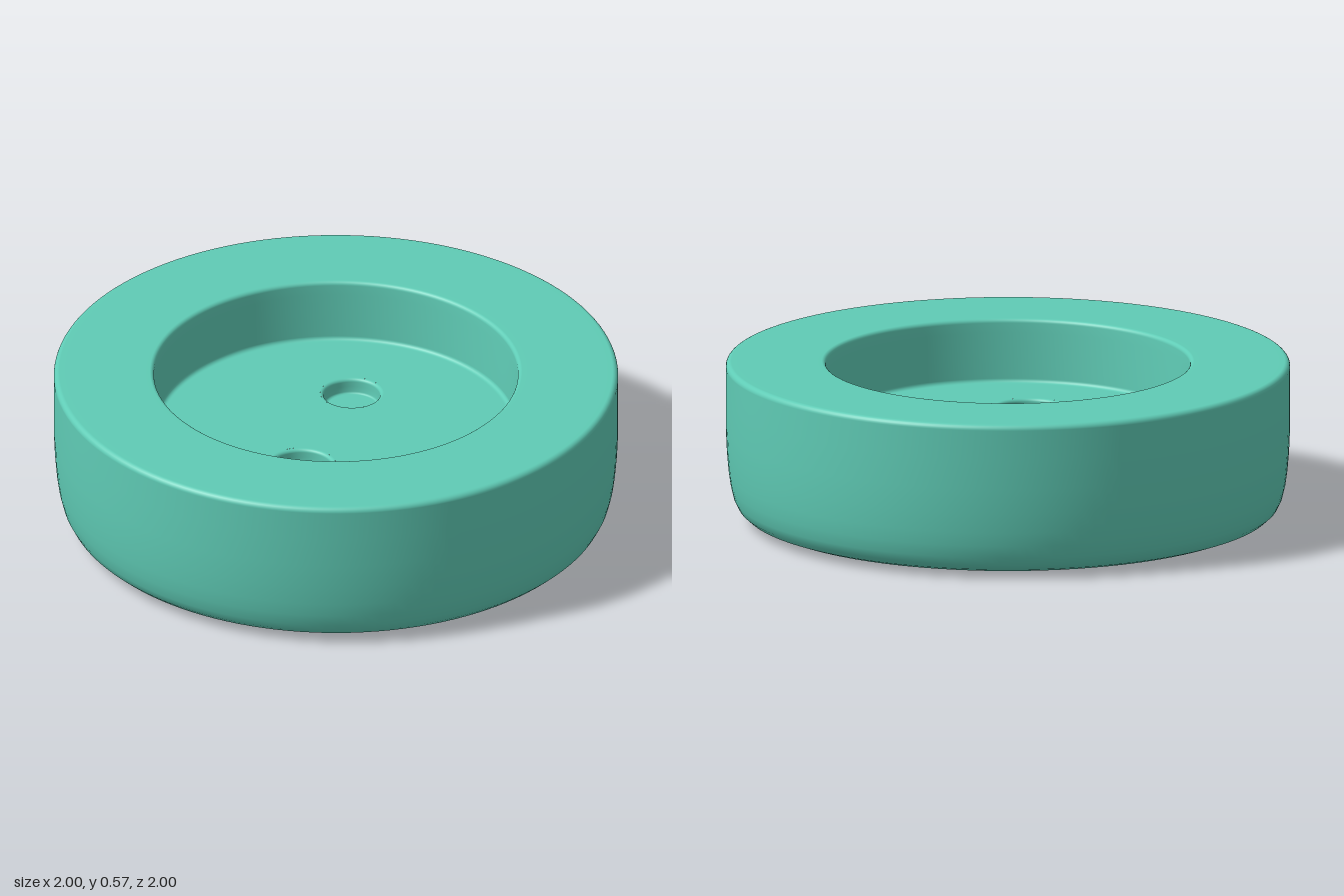
import * as THREE from 'three';

const TOP = 0.575, FLOOR = 0.345, FLOOR_R = 0.62;

// Turns [radius, height] pairs into a smooth lathed surface
function lathe(points, segments) {
  return new THREE.LatheGeometry(points.map(([r, y]) => new THREE.Vector2(r, y)), segments);
}

// Quarter-round from angle a to b (degrees) about centre (cx, cy)
function arc(cx, cy, rx, ry, a, b, steps = 6) {
  return Array.from({ length: steps + 1 }, (_, i) => {
    const t = THREE.MathUtils.degToRad(a + (b - a) * i / steps);
    return [cx + rx * Math.cos(t), cy + ry * Math.sin(t)];
  });
}

export function createModel() {
  const group = new THREE.Group();
  group.name = 'button';
  const material = new THREE.MeshStandardMaterial({ color: 0x5fcbb5 });

  const add = (name, geometry) => {
    const mesh = new THREE.Mesh(geometry, material);
    mesh.name = name;
    group.add(mesh);
    return mesh;
  };

  // Body: soft underside, nearly straight wall, wide rim and recess wall
  add('body', lathe([
    [0, 0.004], [0.6, 0.005], [0.75, 0.01], [0.85, 0.015],
    [0.9, 0.022], [0.935, 0.035], [0.957, 0.055], [0.972, 0.085],
    [0.983, 0.13], [0.99, 0.18], [0.996, 0.25], [1, 0.34], [1, 0.45],
    ...arc(0.98, TOP - 0.02, 0.02, 0.02, 0, 90),
    [0.95, TOP], [0.7, TOP],
    ...arc(0.66, TOP - 0.015, 0.015, 0.015, 90, 180),
    [0.643, TOP - 0.05], [0.638, FLOOR + 0.03],
    ...arc(FLOOR_R + 0.003, FLOOR + 0.015, 0.015, 0.015, 0, -90),
    [FLOOR_R, FLOOR],
  ], 128));

  // Recess floor, pierced where the two thread holes sit
  const holes = [
    { name: 'rightDimple', x: -0.275, z: 0.1, rx: 0.106, rz: 0.11 },
    { name: 'leftDimple', x: 0.22, z: -0.135, rx: 0.1, rz: 0.1 },
  ];
  const lip = 1.12;
  const floor = new THREE.Shape().absarc(0, 0, FLOOR_R, 0, Math.PI * 2);
  for (const h of holes) {
    floor.holes.push(new THREE.Path().absellipse(h.x, -h.z, h.rx * lip, h.rz * lip, 0, Math.PI * 2, true));
  }
  const floorMesh = add('recessFloor', new THREE.ShapeGeometry(floor, 64).rotateX(-Math.PI / 2));
  floorMesh.position.y = FLOOR;

  // Shallow blind holes with a rounded lip
  for (const h of holes) {
    const dimple = add(h.name, lathe([
      ...arc(lip, -0.012, lip - 1, 0.012, 90, 180),
      [1, -0.03], [0.995, -0.05], [0.97, -0.056], [0.9, -0.057], [0, -0.057],
    ], 64));
    dimple.scale.set(h.rx, 1, h.rz);
    dimple.position.set(h.x, FLOOR, h.z);
  }
  return group;
}
